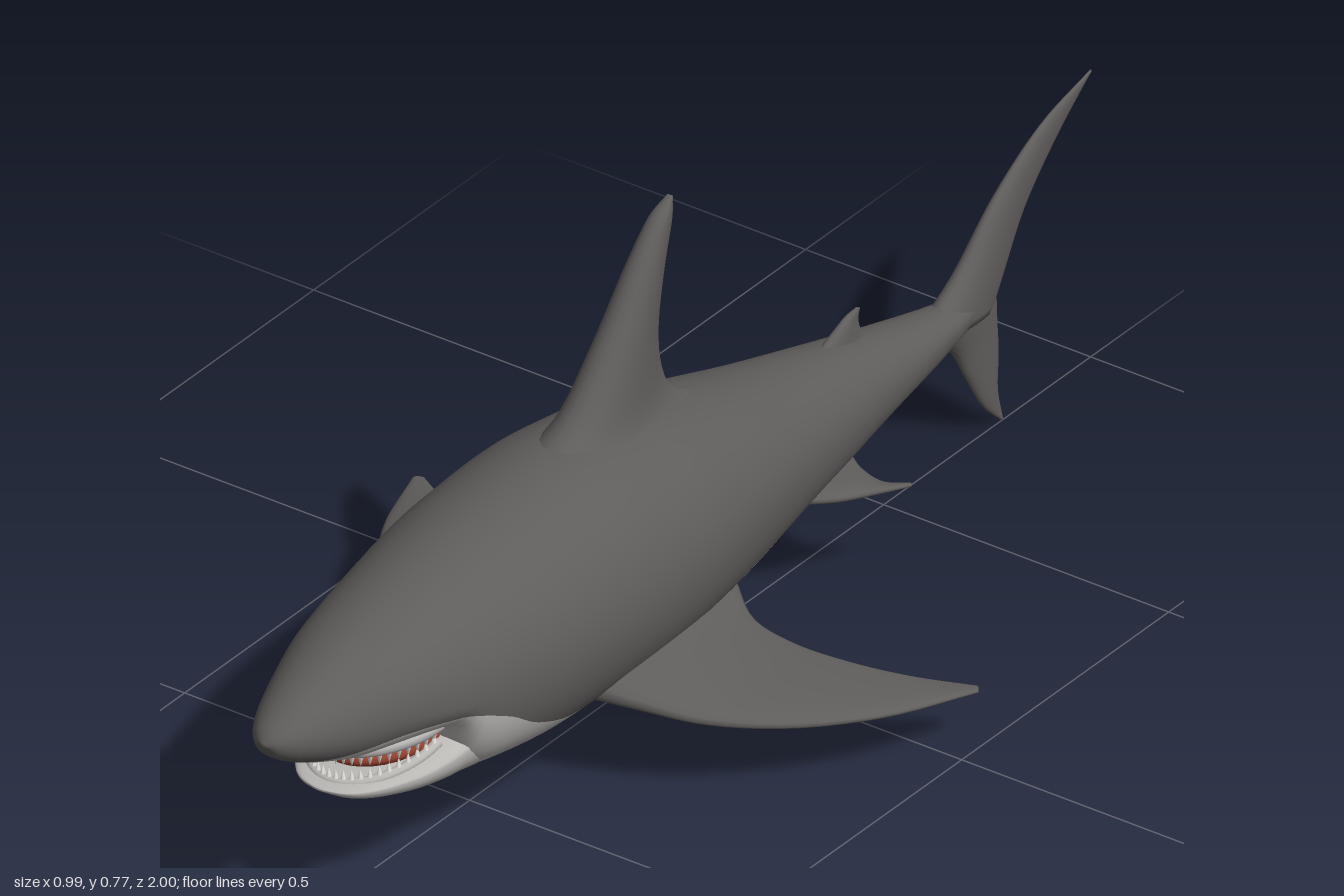
import * as THREE from 'three';
import { mergeGeometries } from 'three/addons/utils/BufferGeometryUtils.js';

const material = (name, color) => {
  const m = new THREE.MeshStandardMaterial({ color });
  m.name = name;
  return m;
};

// Smooth curve through [position, value] pairs with no overshoot.
function profile(pts) {
  const slope = i => (pts[i + 1][1] - pts[i][1]) / (pts[i + 1][0] - pts[i][0]);
  const tangent = i => {
    if (i === 0) return slope(0);
    if (i === pts.length - 1) return slope(i - 1);
    const a = slope(i - 1), b = slope(i);
    return a * b <= 0 ? 0 : 2 * a * b / (a + b);
  };
  return z => {
    let i = 0;
    while (i < pts.length - 2 && z > pts[i + 1][0]) i++;
    const h = pts[i + 1][0] - pts[i][0];
    const t = THREE.MathUtils.clamp((z - pts[i][0]) / h, 0, 1), t2 = t * t, t3 = t2 * t;
    return pts[i][1] * (2 * t3 - 3 * t2 + 1) + pts[i + 1][1] * (3 * t2 - 2 * t3)
      + h * (tangent(i) * (t3 - 2 * t2 + t) + tangent(i + 1) * (t3 - t2));
  };
}

// Closed skin over a list of rings; columns picked by isSecond take the second material.
function loft(rings, isSecond = () => false) {
  const n = rings[0].length, verts = rings.flat(), sets = [[], []];
  const centre = ring => ring.reduce((s, p) => s.add(p), new THREE.Vector3()).divideScalar(n);
  verts.push(centre(rings[0]), centre(rings[rings.length - 1]));
  const last = (rings.length - 1) * n, c0 = rings.length * n;
  for (let j = 0; j < n; j++) {
    const k = (j + 1) % n, set = sets[isSecond(j) ? 1 : 0];
    for (let i = 0; i < last; i += n) set.push(i + j, i + n + j, i + n + k, i + j, i + n + k, i + k);
    sets[0].push(c0, j, k, c0 + 1, last + k, last + j);
  }
  // Turn the faces outward by the sign of the enclosed volume.
  const index = sets.flat(), cross = new THREE.Vector3();
  let volume = 0;
  for (let i = 0; i < index.length; i += 3)
    volume += verts[index[i]].dot(cross.crossVectors(verts[index[i + 1]], verts[index[i + 2]]));
  if (volume < 0)
    for (let i = 0; i < index.length; i += 3) [index[i + 1], index[i + 2]] = [index[i + 2], index[i + 1]];
  const g = new THREE.BufferGeometry().setFromPoints(verts);
  g.setIndex(index);
  g.addGroup(0, sets[0].length, 0);
  if (sets[1].length) g.addGroup(sets[0].length, sets[1].length, 1);
  g.computeVertexNormals();
  return g;
}

// Fin between a leading and a trailing edge, with half thickness along an axis.
function fin(lead, trail, thickness, axis) {
  const curve = pts => new THREE.CatmullRomCurve3(pts.map(p => new THREE.Vector3(...p)));
  const a = curve(lead), b = curve(trail), rings = [];
  const half = profile(thickness), n = new THREE.Vector3(...axis).normalize();
  for (let i = 0; i <= 24; i++) {
    const t = i / 24, p = a.getPoint(t), q = b.getPoint(t), ring = [];
    for (let j = 0; j < 24; j++) {
      const u = j / 24 * Math.PI * 2;
      ring.push(q.clone().lerp(p, 0.5 + 0.5 * Math.cos(u))
        .addScaledVector(n, half(t) * Math.sin(u) * (0.85 + 0.3 * Math.cos(u))));
    }
    rings.push(ring);
  }
  return loft(rings);
}

export function createModel() {
  const model = new THREE.Group();
  model.name = 'shark';
  const skin = material('grey skin', 0x5f5d5c), belly = material('pale belly', 0xbab8b5);
  const flesh = material('red mouth', 0x98412f), ivory = material('ivory teeth', 0xe6e4de);
  const add = (name, geometry, mat) => {
    const mesh = new THREE.Mesh(geometry, mat);
    mesh.name = name;
    model.add(mesh);
    return mesh;
  };

  // Body and snout, with the pale underside split off along a height line.
  const top = profile([[-.74, .245], [-.62, .265], [-.5, .295], [-.35, .335], [-.2, .375], [0, .435], [.15, .47],
    [.3, .487], [.45, .48], [.6, .462], [.8, .425], [.9, .395], [.96, .37], [.99, .352], [1, .34]]);
  const bottom = profile([[-.74, .21], [-.62, .195], [-.5, .18], [-.35, .16], [-.2, .145], [0, .122], [.25, .11],
    [.45, .112], [.6, .127], [.66, .15], [.7, .245], [.85, .255], [.9, .27], [.95, .29], [.985, .312], [1, .335]]);
  const middle = profile([[-.74, .23], [-.35, .25], [0, .28], [.3, .29], [.6, .29], [.8, .32], [.9, .325], [1, .337]]);
  const width = profile([[-.74, .012], [-.6, .042], [-.4, .075], [-.2, .115], [0, .155], [.15, .178], [.3, .186],
    [.45, .182], [.6, .163], [.75, .128], [.85, .094], [.93, .062], [.975, .036], [.993, .018], [1, .004]]);
  const paleLine = profile([[-.66, .19], [-.6, .2], [-.5, .197], [-.4, .19], [-.35, .175], [-.2, .182], [-.05, .187],
    [.05, .175], [.2, .14], [.35, .15], [.45, .17], [.55, .21], [.62, .255], [.7, .285], [.8, .294], [.9, .288], [.97, .297]]);
  const upperCols = 22, paleCols = 14, half = upperCols + paleCols, rings = [];
  for (let i = 0; i <= 120; i++) {
    const z = -.74 + 1.74 * (1 - (1 - i / 120) ** 1.5);
    const yt = top(z), yb = bottom(z), yc = middle(z), w = width(z);
    const split = Math.acos(THREE.MathUtils.clamp((paleLine(z) - yc) / (yc - yb), -1, 0));
    const ring = [];
    for (let j = 0; j < half * 2; j++) {
      const k = j <= half ? j : half * 2 - j, side = j <= half ? 1 : -1;
      const a = k <= upperCols ? split * k / upperCols : split + (Math.PI - split) * (k - upperCols) / paleCols;
      const c = Math.cos(a), s = Math.abs(Math.sin(a));
      ring.push(new THREE.Vector3(side * w * (c < 0 ? s ** .8 : s), yc + c * (c > 0 ? yt - yc : yc - yb), z));
    }
    rings.push(ring);
  }
  add('body', loft(rings, j => j >= upperCols && j < upperCols + 2 * paleCols), [skin, belly]);

  // Lower jaw
  const jawTop = profile([[.5, .235], [.66, .238], [.74, .224], [.8, .213], [.84, .206], [.865, .2]]);
  const jawBottom = profile([[.5, .14], [.6, .13], [.66, .142], [.74, .158], [.8, .17], [.84, .182], [.865, .196]]);
  const jawWidth = profile([[.5, .11], [.6, .122], [.68, .122], [.74, .112], [.8, .086], [.84, .058], [.858, .033], [.865, .008]]);
  const jaw = [];
  for (let i = 0; i <= 40; i++) {
    const z = .5 + .365 * (1 - (1 - i / 40) ** 1.5), yt = jawTop(z), yb = jawBottom(z), yc = yt - (yt - yb) * .3;
    jaw.push(Array.from({ length: 40 }, (_, j) => {
      const a = j / 40 * Math.PI * 2, c = Math.cos(a), s = Math.sin(a);
      return new THREE.Vector3(Math.sign(s) * jawWidth(z) * Math.abs(s) ** .7, yc + c * (c > 0 ? yt - yc : yc - yb), z);
    }));
  }
  add('lowerJaw', loft(jaw), belly);

  // Mouth lining, lips and two rows of teeth on a horseshoe arc
  const lining = add('mouthLining', new THREE.SphereGeometry(1, 32, 16), flesh);
  lining.scale.set(.085, .029, .125);
  lining.position.set(0, .229, .7);
  for (const upper of [true, false]) {
    const at = t => {
      const z = .7 + .14 * Math.cos(t);
      return new THREE.Vector3(.09 * Math.sin(t), upper ? .259 : jawTop(z) - .005, z);
    };
    const arc = Array.from({ length: 17 }, (_, i) => at((i / 8 - 1) * Math.PI / 2));
    add(upper ? 'upperLip' : 'lowerLip',
      new THREE.TubeGeometry(new THREE.CatmullRomCurve3(arc), 40, upper ? .012 : .008, 10), belly);
    const teeth = [];
    for (let i = 0; i < 25; i++) {
      const p = at((i / 12 - 1) * 1.5), cone = new THREE.ConeGeometry(.0055, .02, 6);
      if (upper) cone.rotateX(Math.PI);
      teeth.push(cone.translate(p.x, p.y + (upper ? -.018 : .012), p.z));
    }
    add(upper ? 'upperTeeth' : 'lowerTeeth', mergeGeometries(teeth), ivory);
  }

  // Fins on the centre line, given as [z, y] edges
  const centreFin = (name, lead, trail, thickness) => {
    const flat = pts => pts.map(([z, y]) => [0, y, z]);
    add(name, fin(flat(lead), flat(trail), thickness, [1, 0, 0]), skin);
  };
  centreFin('dorsalFin',
    [[.36, .465], [.27, .507], [.18, .6], [.1, .703], [.055, .75], [.018, .77]],
    [[-.06, .41], [.025, .465], [.05, .55], [.037, .65], [.014, .735], [.012, .766]],
    [[0, .075], [.2, .05], [.4, .037], [.6, .025], [.8, .016], [1, .005]]);
  centreFin('secondDorsalFin',
    [[-.33, .325], [-.38, .345], [-.41, .357], [-.435, .36]],
    [[-.47, .295], [-.445, .32], [-.438, .34], [-.442, .357]], [[0, .014], [1, .003]]);
  centreFin('analFin',
    [[-.4, .185], [-.43, .172], [-.455, .16], [-.47, .154]],
    [[-.5, .19], [-.475, .178], [-.468, .167], [-.473, .155]], [[0, .012], [1, .003]]);
  centreFin('upperTailLobe',
    [[-.58, .235], [-.67, .29], [-.77, .38], [-.88, .445], [-1, .478]],
    [[-.76, .2], [-.79, .25], [-.84, .33], [-.92, .41], [-.998, .472]],
    [[0, .03], [.25, .022], [.6, .011], [1, .002]]);
  centreFin('lowerTailLobe',
    [[-.58, .225], [-.66, .175], [-.7, .11], [-.74, .045], [-.785, .001]],
    [[-.77, .24], [-.773, .18], [-.777, .12], [-.775, .06], [-.788, .003]],
    [[0, .026], [.3, .015], [.7, .008], [1, .002]]);

  // Paired fins, mirrored across the body
  for (const [side, s] of [['left', 1], ['right', -1]]) {
    const flip = pts => pts.map(([x, y, z]) => [s * x, y, z]);
    add(side + 'PectoralFin', fin(
      flip([[.11, .175, .4], [.19, .155, .36], [.27, .132, .31], [.36, .115, .225], [.44, .102, .105], [.497, .09, -.045]]),
      flip([[.11, .17, .01], [.18, .15, .06], [.25, .135, .06], [.33, .12, .035], [.41, .105, -.005], [.485, .09, -.058]]),
      [[0, .045], [.2, .028], [.4, .019], [.7, .012], [1, .004]], [s * .15, 1, 0]), skin);
    add(side + 'PelvicFin', fin(
      flip([[.06, .185, -.17], [.115, .18, -.23], [.14, .172, -.29], [.161, .165, -.345]]),
      flip([[.05, .18, -.35], [.09, .178, -.325], [.125, .17, -.325], [.155, .165, -.352]]),
      [[0, .016], [.5, .009], [1, .003]], [s * .2, 1, 0]), skin);
  }
  return model;
}
